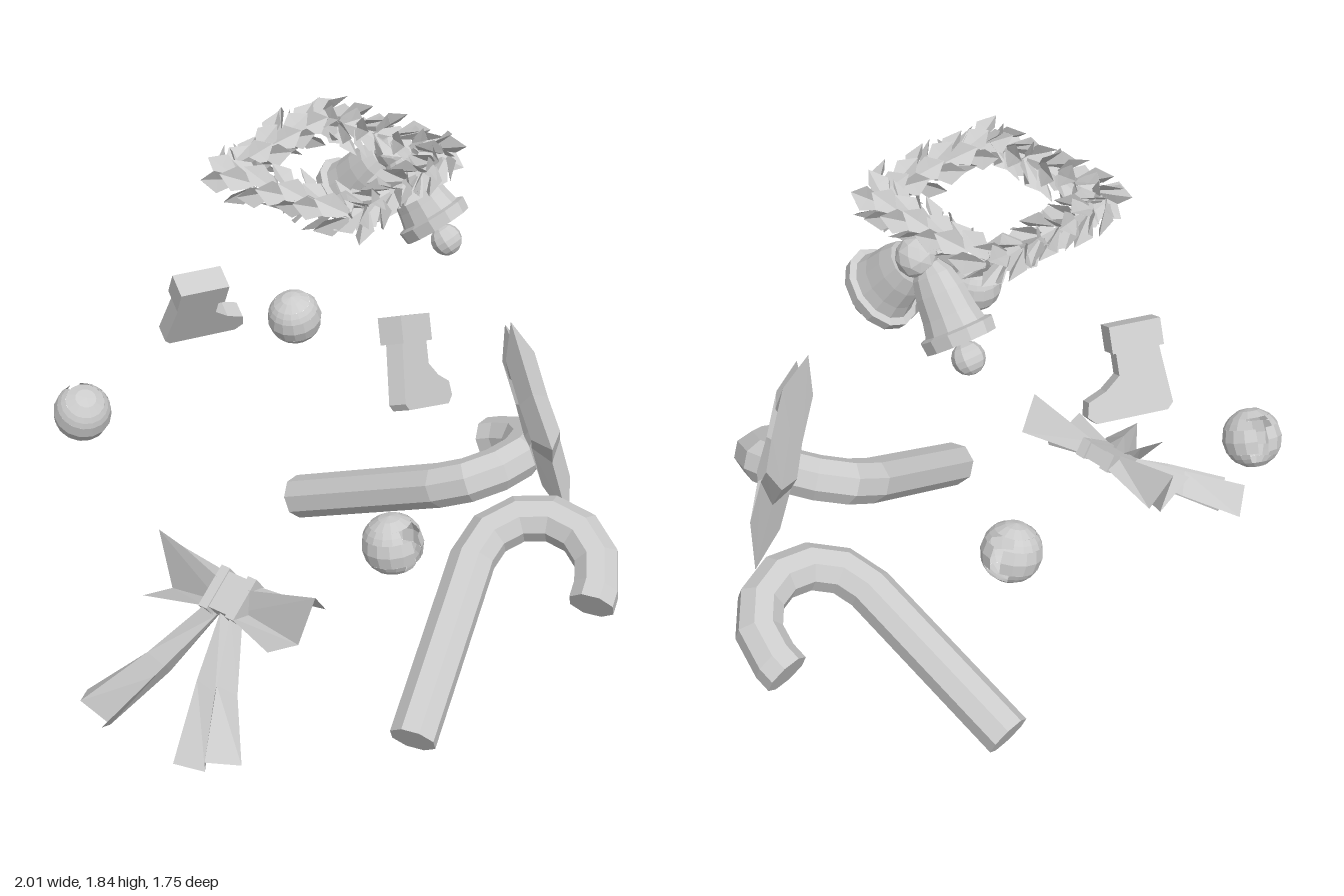
import * as THREE from 'three';
import { mergeGeometries } from 'three/addons/utils/BufferGeometryUtils.js';

const V = (x, y, z) => new THREE.Vector3(x, y, z);
const solid = new THREE.MeshStandardMaterial({ color: 0xcccccc, flatShading: true });
const thin = new THREE.MeshStandardMaterial({ color: 0xcccccc, flatShading: true, side: THREE.DoubleSide });

// Surface through a list of cross-sections
function loft(rings, { closed = true, loop = false, caps = false } = {}) {
  const n = rings[0].length, index = [];
  const rows = loop ? rings.length : rings.length - 1;
  for (let i = 0; i < rows; i++) {
    for (let k = 0; k < (closed ? n : n - 1); k++) {
      const j = (i + 1) % rings.length, l = (k + 1) % n;
      index.push(i * n + k, i * n + l, j * n + l, i * n + k, j * n + l, j * n + k);
    }
  }
  if (caps) {
    const e = (rings.length - 1) * n;
    for (let k = 1; k < n - 1; k++) index.push(0, k + 1, k, e, e + k, e + k + 1);
  }
  const g = new THREE.BufferGeometry().setFromPoints(rings.flat());
  g.setIndex(index);
  const flat = g.toNonIndexed();
  flat.computeVertexNormals();
  return flat;
}

function part(parent, name, geometry, material = solid, pos = [0, 0, 0]) {
  const m = new THREE.Mesh(geometry, material);
  m.name = name;
  m.position.set(...pos);
  parent.add(m);
  return m;
}

// Put an object at a point with its local x and y axes along given directions
function place(obj, pos, xDir, yDir) {
  const y = V(...yDir).normalize(), z = V(...xDir).cross(y).normalize();
  const x = y.clone().cross(z);
  obj.quaternion.setFromRotationMatrix(new THREE.Matrix4().makeBasis(x, y, z));
  obj.position.set(...pos);
  return obj;
}

// Octagonal rod with a half-circle hook
function caneGeometry() {
  const L = 0.667, R = 0.215, r = 0.08, path = [[0, 0, 0], [0, L, 0]];
  for (let i = 1; i <= 6; i++) {
    const t = (i / 6) * Math.PI;
    path.push([R - R * Math.cos(t), L + R * Math.sin(t), t]);
  }
  path.push([2 * R, L - 0.06, Math.PI]);
  const rings = path.map(([x, y, t]) => Array.from({ length: 8 }, (_, k) => {
    const a = ((k + 0.5) / 8) * Math.PI * 2, c = r * Math.cos(a);
    return V(x - c * Math.cos(t), y + c * Math.sin(t), r * Math.sin(a));
  }));
  return loft(rings, { caps: true });
}

// Open star frame with a raised ridge on both faces
function starGeometry() {
  const ring = (tip, notch, z) => Array.from({ length: 10 }, (_, k) => {
    const a = Math.PI / 2 + (k * Math.PI) / 5, r = k % 2 ? notch : tip;
    return V(r * Math.cos(a), r * Math.sin(a), z);
  });
  return loft([ring(0.392, 0.215, 0), ring(0.245, 0.135, 0.05), ring(0.15, 0.08, 0), ring(0.245, 0.135, -0.05)], { loop: true });
}

// Hollow ball with a slot that widens at both ends, opening toward +z
function jingleGeometry() {
  const bands = [[0, 42, 0], [42, 66, 60], [66, 114, 22], [114, 138, 60], [138, 180, 0]];
  const rad = THREE.MathUtils.degToRad;
  return mergeGeometries(bands.map(([t0, t1, gap]) => new THREE.SphereGeometry(0.097, 14, 2,
    Math.PI / 2 + rad(gap / 2), Math.PI * 2 - rad(gap), rad(t0), rad(t1 - t0))));
}

// Stocking with a thicker cuff
function makeStocking() {
  const g = new THREE.Group();
  g.name = 'stocking';
  const s = new THREE.Shape([[-0.135, 0.02], [-0.115, 0], [0.12, 0], [0.145, 0.025], [0.135, 0.07],
    [0.075, 0.095], [0.025, 0.135], [0.025, 0.22], [-0.115, 0.22]].map(p => new THREE.Vector2(...p)));
  const body = new THREE.ExtrudeGeometry(s, { depth: 0.06, bevelEnabled: false }).translate(0, 0, -0.03);
  part(g, 'stockingBody', body);
  part(g, 'stockingCuff', new THREE.BoxGeometry(0.168, 0.085, 0.085), solid, [-0.045, 0.25, 0]);
  return g;
}

// Flared bell hanging along -y from its crown
function makeBell() {
  const g = new THREE.Group();
  g.name = 'bell';
  const profile = [[0, 0.21], [0.1, 0.23], [0.118, 0.262], [0.13, 0.262], [0.135, 0.222], [0.112, 0.215],
    [0.1, 0.17], [0.09, 0.1], [0.074, 0.045], [0.045, 0.01], [0, 0]];
  const shell = part(g, 'bellShell', new THREE.LatheGeometry(profile.map(([r, t]) => new THREE.Vector2(r, -t)), 12), thin);
  shell.scale.x = 0.78;
  part(g, 'clapper', new THREE.SphereGeometry(0.052, 10, 8), solid, [0, -0.315, 0]);
  return g;
}

// Square garland of folded pointed leaves
function garlandGeometry() {
  const c = V(0.07, 1.75, -0.142), h = 0.25, perSide = 7, leaves = [];
  for (let s = 0; s < 4; s++) {
    const a = (s * Math.PI) / 2;
    const out = V(Math.cos(a), 0, Math.sin(a)), along = V(-Math.sin(a), 0, Math.cos(a));
    for (let i = 0; i < perSide; i++) {
      const base = c.clone().addScaledVector(out, h).addScaledVector(along, ((i + 0.15) / perSide * 2 - 1) * h);
      base.y += 0.02 * base.x;
      for (let k = 0; k < 5; k++) {
        const f = (k / 5) * Math.PI * 2 + i * 0.7 + s;
        const tilt = 0.55 + 0.2 * Math.sin(i * 2.3 + k * 1.9 + s);
        const radial = out.clone().multiplyScalar(Math.cos(f)).add(V(0, Math.sin(f), 0));
        const dir = along.clone().multiplyScalar(Math.cos(tilt)).addScaledVector(radial, Math.sin(tilt));
        const side = dir.clone().cross(radial).normalize(), up = side.clone().cross(dir);
        const at = (x, y, z) => base.clone().addScaledVector(radial, 0.014)
          .addScaledVector(side, x).addScaledVector(dir, y).addScaledVector(up, z);
        leaves.push(loft([
          [at(-0.014, 0, 0), at(0, 0, -0.006), at(0.014, 0, 0)],
          [at(-0.04, 0.065, 0.012), at(0, 0.06, -0.004), at(0.04, 0.065, 0.012)],
          [at(-0.001, 0.112, 0), at(0, 0.112, 0), at(0.001, 0.112, 0)],
        ], { closed: false }));
      }
    }
  }
  return mergeGeometries(leaves);
}

// Pleated bow; local x runs up the slope, z across
function makeBow() {
  const g = new THREE.Group();
  g.name = 'bow';
  for (const m of [1, -1]) {
    const pts = list => list.map(([x, y, z]) => V(x, y, z * m));
    const wing = loft([
      pts([[-0.07, 0.03, 0.05], [-0.025, -0.03, 0.05], [0.03, 0.03, 0.05], [0.07, -0.02, 0.05]]),
      pts([[-0.13, 0.06, 0.26], [-0.04, -0.08, 0.265], [0.09, 0.08, 0.325], [0.1, -0.06, 0.3]]),
    ], { closed: false });
    part(g, 'bowWing', wing, thin);
    const tail = loft([
      pts([[-0.06, 0.01, 0.0], [-0.06, -0.035, 0.025], [-0.06, 0.03, 0.05], [-0.06, -0.02, 0.075]]),
      pts([[-0.3, 0.03, 0.065], [-0.3, -0.06, 0.095], [-0.29, 0.04, 0.145], [-0.28, -0.04, 0.185]]),
      pts([[-0.575, 0.04, 0.15], [-0.54, -0.075, 0.2], [-0.53, 0.06, 0.26], [-0.475, -0.04, 0.325]]),
    ], { closed: false });
    part(g, 'bowTail', tail, thin);
    part(g, 'bowBand', new THREE.BoxGeometry(0.155, 0.065, 0.035), solid, [0, 0, 0.055 * m]);
  }
  part(g, 'bowKnot', new THREE.BoxGeometry(0.135, 0.055, 0.08));
  return g;
}

export function createModel() {
  const root = new THREE.Group();
  root.name = 'ornaments';

  // Two canes lying below
  const cane = caneGeometry();
  place(part(root, 'cane', cane), [-0.42, 0.07, 0.52], [0.282, -0.045, 0.958], [0.84, 0.495, -0.225]);
  place(part(root, 'cane', cane), [0.46, 0.09, -0.615], [1, -0.058, -0.028], [0.05, 0.405, 0.91]);

  place(part(root, 'star', starGeometry()), [0.545, 0.77, 0.345], [0.709, 0.053, -0.703], [-0.23, 0.963, -0.142]);

  // Three slotted balls
  const jingle = jingleGeometry();
  for (const [pos, dir] of [[[-0.487, 0.87, 0.48], [0, 0.15, 1]], [[-0.487, 0.88, -0.78], [0.4, 0.5, -0.75]], [[0.45, 0.87, -0.61], [1, 0.3, -0.2]]]) {
    const ball = part(root, 'jingleBall', jingle, thin, pos);
    ball.lookAt(V(...pos).add(V(...dir)));
  }

  // Pair of stockings tilted opposite ways
  root.add(place(makeStocking(), [-0.11, 1.11, 0.32], [0.93, -0.36, 0], [0.33, 0.86, -0.37]));
  root.add(place(makeStocking(), [-0.1, 1.08, -0.59], [0.8, 0.1, 0.5], [-0.2, 0.88, 0.42]));

  // Garland with two bells under a round knob
  part(root, 'garland', garlandGeometry(), thin);
  part(root, 'bellKnob', new THREE.IcosahedronGeometry(0.065, 1), solid, [0.375, 1.685, -0.135]);
  for (const m of [1, -1]) {
    root.add(place(makeBell(), [0.355, 1.67, -0.135 + 0.02 * m], [1, 0.08, 0], [-0.02, 0.265, -0.21 * m]));
  }

  root.add(place(makeBow(), [-0.52, 0.42, -0.14], [0.82, 0.57, 0], [-0.57, 0.82, 0]));
  return root;
}
